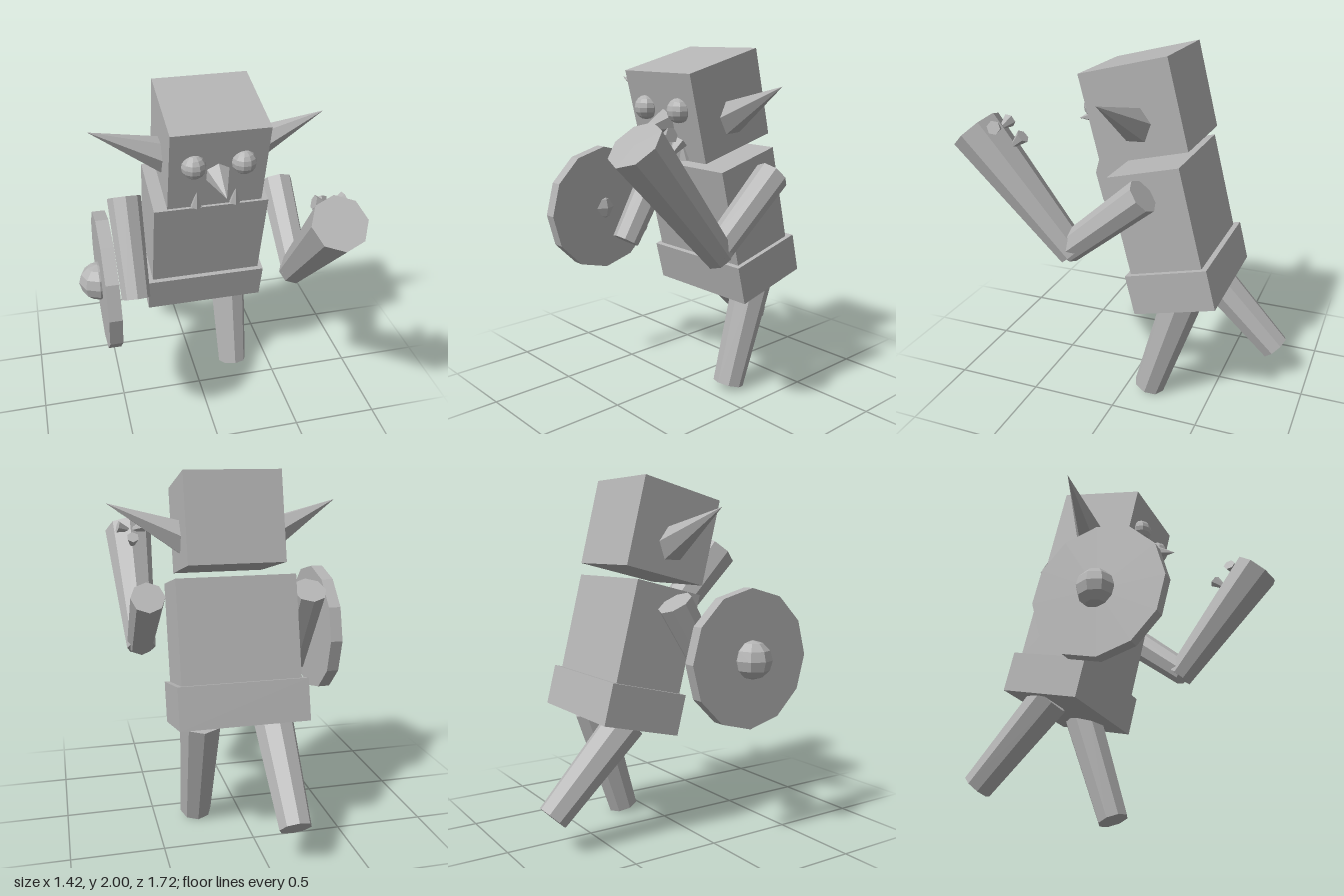
import * as THREE from 'three';

const stone = new THREE.MeshStandardMaterial({ color: 0xb4b4b4, flatShading: true });
stone.name = 'plain grey';

const UP = new THREE.Vector3(0, 1, 0);
const LEAN = 0.245; // forward lean of head and body
const MID = 0.058; // x of the body's middle

export function createModel() {
  const group = new THREE.Group();

  const add = (name, geometry, x, y, z) => {
    const mesh = new THREE.Mesh(geometry, stone);
    mesh.name = name;
    mesh.position.set(x, y, z);
    group.add(mesh);
    return mesh;
  };

  // Tapered prism from point a (radius ra) to point b (radius rb)
  const rod = (name, a, b, ra, rb, sides = 8) => {
    const start = new THREE.Vector3(...a);
    const end = new THREE.Vector3(...b);
    const dir = end.clone().sub(start);
    const mid = start.add(end).multiplyScalar(0.5);
    const mesh = add(name, new THREE.CylinderGeometry(rb, ra, dir.length(), sides), mid.x, mid.y, mid.z);
    mesh.quaternion.setFromUnitVectors(UP, dir.normalize());
    return mesh;
  };

  const block = (name, w, h, d, y, z) => {
    add(name, new THREE.BoxGeometry(w, h, d), MID, y, z).rotation.x = LEAN;
  };

  // Head, torso and belt
  block('head', 0.53, 0.49, 0.505, 1.70, -0.065);
  block('torso', 0.655, 0.56, 0.412, 1.132, -0.208);
  block('belt', 0.71, 0.23, 0.472, 0.75, -0.308);

  // Mirrored face parts
  for (const [side, s] of [['left', 1], ['right', -1]]) {
    add(side + 'Eye', new THREE.SphereGeometry(0.067, 10, 8), MID + s * 0.135, 1.68, 0.197);
    add(side + 'Tooth', new THREE.ConeGeometry(0.032, 0.096, 6), MID + s * 0.108, 1.457, 0.14).rotation.x = LEAN;
    rod(side + 'Ear', [MID + s * 0.19, 1.61, -0.08], [MID + s * 0.646, 1.82, -0.035], 0.11, 0, 6);
  }
  rod('nose', [MID, 1.612, 0.172], [MID, 1.565, 0.365], 0.07, 0, 6);

  // Striding legs
  rod('leftLeg', [0.26, 0.03, -0.14], [0.26, 0.66, -0.34], 0.09, 0.115);
  rod('rightLeg', [-0.145, 0.20, -0.80], [-0.145, 0.66, -0.35], 0.088, 0.115);

  // Arms, the left one bent and raised
  rod('rightArm', [-0.4, 0.83, 0.11], [-0.4, 1.33, -0.195], 0.083, 0.098);
  rod('leftUpperArm', [0.512, 0.965, 0.24], [0.512, 1.33, -0.195], 0.08, 0.095);
  rod('leftForearm', [0.512, 0.95, 0.2], [0.512, 1.585, 0.75], 0.085, 0.145);

  // Small flared studs on the raised forearm
  rod('middleStud', [0.512, 1.505, 0.545], [0.512, 1.572, 0.472], 0.008, 0.038, 6);
  for (const s of [1, -1]) {
    rod('sideStud', [0.512, 1.60, 0.605], [0.512 + s * 0.08, 1.625, 0.595], 0.008, 0.038, 6);
  }

  // Round shield with a boss
  rod('shield', [-0.6, 1.025, 0.163], [-0.53, 1.025, 0.163], 0.381, 0.381, 12);
  add('shieldBoss', new THREE.SphereGeometry(0.106, 8, 6), -0.61, 1.025, 0.163);

  return group;
}
